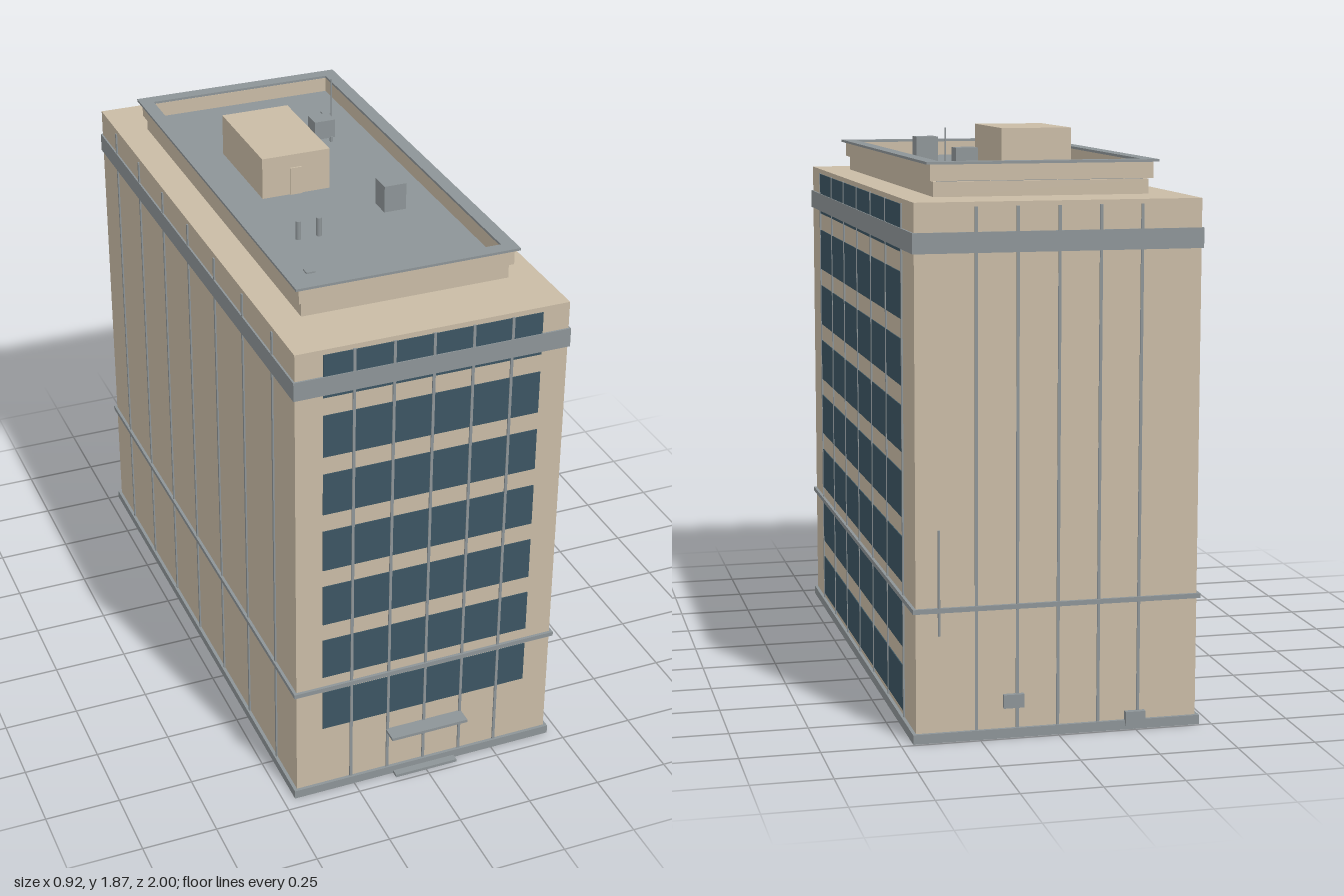
import * as THREE from 'three';

export function createModel() {
  const model = new THREE.Group();
  model.name = 'officeBlock';
  const mat = (name, color) => {
    const m = new THREE.MeshStandardMaterial({ color });
    m.name = name;
    return m;
  };
  const tan = mat('tan stone', 0xc9bba5);
  const grey = mat('grey trim', 0x8d9497);
  const glass = mat('blue glass', 0x3c5562);

  // Box given by its extents on each axis
  const box = (name, m, x0, x1, y0, y1, z0, z1, parent = model) => {
    const mesh = new THREE.Mesh(new THREE.BoxGeometry(x1 - x0, y1 - y0, z1 - z0), m);
    mesh.position.set((x0 + x1) / 2, (y0 + y1) / 2, (z0 + z1) / 2);
    mesh.name = name;
    parent.add(mesh);
    return mesh;
  };
  const rod = (name, x, z, r, y0, y1) => {
    const mesh = new THREE.Mesh(new THREE.CylinderGeometry(r, r, y1 - y0, 12), grey);
    mesh.position.set(x, (y0 + y1) / 2, z);
    mesh.name = name;
    model.add(mesh);
  };
  // Rectangular ring, extruded upwards
  const ring = (name, m, hx, z0, z1, wall, y0, y1) => {
    const s = new THREE.Shape([[-hx, -z0], [hx, -z0], [hx, -z1], [-hx, -z1]].map(p => new THREE.Vector2(...p)));
    const i = hx - wall;
    s.holes.push(new THREE.Path([[-i, -z0 - wall], [-i, -z1 + wall], [i, -z1 + wall], [i, -z0 - wall]].map(p => new THREE.Vector2(...p))));
    const g = new THREE.ExtrudeGeometry(s, { depth: y1 - y0, bevelEnabled: false });
    g.rotateX(-Math.PI / 2);
    const mesh = new THREE.Mesh(g, m);
    mesh.position.y = y0;
    mesh.name = name;
    model.add(mesh);
  };

  const X = 0.45, ZF = 0.944, ZB = -0.981;

  // Main block and horizontal trims
  box('mainBlock', tan, -X, X, 0.01, 1.664, ZB, ZF);
  const trim = (name, y0, y1, o) => box(name, grey, -X - o, X + o, y0, y1, ZB - o, ZF + o);
  trim('plinth', 0, 0.03, 0.011);
  trim('lowerBelt', 0.41, 0.425, 0.01);
  trim('upperBand', 1.511, 1.574, 0.006);

  // Window strips: front starts one floor up, right-hand entrance side has all floors
  const windows = new THREE.Group();
  windows.name = 'windows';
  model.add(windows);
  for (let i = 0; i < 8; i++) {
    const y = 0.047 + i * 0.2077, top = y + 0.146;
    box('sideWindowStrip', glass, X, X + 0.003, y, top, -0.8, 0.762, windows);
    if (i > 0) box('frontWindowStrip', glass, -0.36, 0.36, y, top, ZF, ZF + 0.003, windows);
  }

  // Vertical mullions and wall joints on all four sides
  const mullions = new THREE.Group();
  mullions.name = 'mullions';
  model.add(mullions);
  const w = 0.0045, d = 0.005;
  for (let i = -2; i <= 2; i++) {
    const x = i * 0.13;
    box('frontMullion', grey, x - w, x + w, 0.03, 1.65, ZF, ZF + d, mullions);
    box('backJoint', grey, x - w, x + w, 0.03, 1.65, ZB - d, ZB, mullions);
  }
  for (let i = 0; i < 7; i++) {
    const z = 0.762 - i * 0.2603;
    box('sideMullion', grey, X, X + d, 0.03, 1.65, z - w, z + w, mullions);
    box('sideJoint', grey, -X - d, -X, 0.03, 1.65, z - w, z + w, mullions);
  }

  // Entrance
  box('entranceCanopy', grey, -0.135, 0.135, 0.176, 0.186, ZF, 1);
  box('entranceStep', grey, -0.11, 0.11, 0, 0.01, ZF, 0.98);

  // Services on the back wall
  rod('backPipe', 0.378, ZB - 0.006, 0.004, 0.337, 0.668);
  box('ventBox', grey, 0.11, 0.175, 0.096, 0.139, -0.997, ZB);
  box('meterBox', grey, -0.282, -0.217, 0.012, 0.058, -1, ZB);

  // Set-back roof storey with a recessed deck
  const deck = 1.715;
  box('roofStorey', tan, -0.345, 0.345, 1.664, deck - 0.004, -0.767, 0.73);
  box('roofDeck', grey, -0.33, 0.33, deck - 0.004, deck, -0.755, 0.715);
  ring('parapet', tan, 0.357, -0.778, 0.742, 0.032, deck - 0.001, 1.765);
  ring('roofCoping', grey, 0.371, -0.793, 0.755, 0.046, 1.765, 1.773);

  // Roof hut with door
  box('roofHut', tan, -0.203, 0.032, deck, 1.856, -0.365, 0.02);
  box('roofHutDoor', tan, -0.107, -0.065, deck, 1.81, 0.02, 0.025);

  // Cooling units, one standing on legs
  box('coolingUnit', grey, 0.127, 0.203, deck, 1.806, 0.185, 0.26);
  box('raisedUnit', grey, 0.116, 0.19, deck + 0.015, 1.795, -0.388, -0.322);
  for (const x of [0.128, 0.178]) for (const z of [-0.39, -0.328]) {
    box('unitLeg', grey, x - 0.005, x + 0.005, deck, deck + 0.02, z, z + 0.008);
  }

  // Vent pipes, drains and mast
  for (const x of [-0.2, -0.13]) rod('ventPipe', x, 0.335, 0.009, deck, 1.778);
  box('roofDrain', grey, -0.265, -0.235, deck, deck + 0.005, 0.54, 0.57);
  box('roofDrain', grey, 0.235, 0.265, deck, deck + 0.005, -0.57, -0.54);
  rod('mast', 0.25, -0.505, 0.003, deck, 1.865);

  return model;
}
